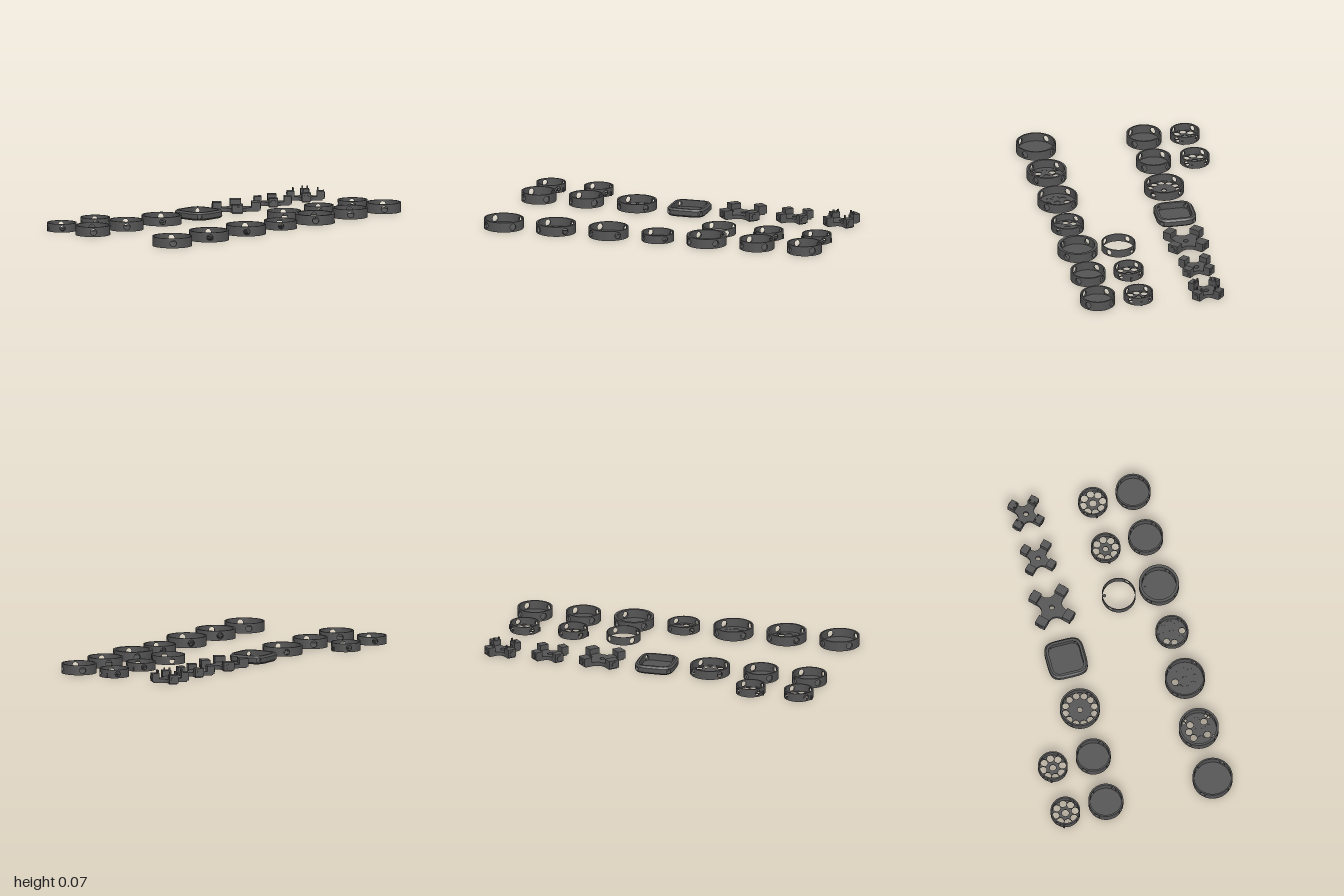
import * as THREE from 'three';
import { toCreasedNormals } from 'three/addons/utils/BufferGeometryUtils.js';

const Q = Math.PI / 2;
const grey = new THREE.MeshStandardMaterial({ color: 0x555555 });
grey.name = 'dark grey';

function add(parent, name, geo, x = 0, y = 0, z = 0) {
  const m = new THREE.Mesh(geo, grey);
  m.name = name;
  m.position.set(x, y, z);
  parent.add(m);
  return m;
}

// Flat plate lying on y = 0; shape up points to the back
function plate(shape, depth) {
  const g = new THREE.ExtrudeGeometry(shape, { depth, bevelEnabled: false, curveSegments: 14 });
  g.rotateX(-Q);
  return toCreasedNormals(g, 0.5);
}

function hole(shape, x, y, r) {
  const p = new THREE.Path();
  p.absarc(x, y, r, 0, Math.PI * 2, true);
  shape.holes.push(p);
}

// Upright wall with four round windows on the diagonals, swept as a lower and an upper band
function wall(radius, thick, h, holeR, bevel = 0) {
  const yc = h / 2;
  const half = Math.asin(holeR / radius(Q / 2));
  const steps = [];
  for (let q = 0; q < 4; q++) {
    const mid = q * Q + Q / 2;
    for (let i = 0; i < 8; i++) steps.push([q * Q + (Q / 2 - half) * i / 8, 0]);
    for (let i = 0; i < 16; i++) {
      const a = Math.PI * i / 16;
      steps.push([mid - half * Math.cos(a), holeR * Math.sin(a)]);
    }
    for (let i = 0; i < 8; i++) steps.push([mid + half + (Q / 2 - half) * i / 8, 0]);
  }
  const pos = [];
  const section = ([t, s], upper) => {
    const ro = radius(t), ri = ro - thick, b = bevel;
    const pts = upper
      ? [[ro, yc + s], [ro, Math.max(h - b, yc + s)], [ro - b, h], [ri, h], [ri, yc + s]]
      : [[ro - b, 0], [ro, Math.min(b, yc - s)], [ro, yc - s], [ri, yc - s], [ri, 0]];
    return pts.map(([r, y]) => [r * Math.cos(t), y, -r * Math.sin(t)]);
  };
  for (const upper of [false, true]) {
    for (let i = 0; i < steps.length; i++) {
      const A = section(steps[i], upper), B = section(steps[(i + 1) % steps.length], upper);
      for (let k = 0; k < 5; k++) {
        const n = (k + 1) % 5;
        pos.push(...A[k], ...B[k], ...B[n], ...A[k], ...B[n], ...A[n]);
      }
    }
  }
  const g = new THREE.BufferGeometry();
  g.setAttribute('position', new THREE.Float32BufferAttribute(pos, 3));
  return toCreasedNormals(g, 0.5);
}

// Round cup: wall, floor with open holes, and holes closed by recessed lids
function cup(root, name, x, z, r, h, thick, { open = [], closed = [], floor = true } = {}) {
  const g = new THREE.Group();
  g.name = name;
  g.position.set(x, 0, z);
  root.add(g);
  add(g, 'wall', wall(() => r, thick, h, h * 0.33));
  if (floor) {
    const s = new THREE.Shape().absarc(0, 0, r - 0.002, 0, Math.PI * 2);
    for (const [px, py, pr] of [...open, ...closed]) hole(s, px, py, pr);
    add(g, 'floor', plate(s, 0.006));
    for (const [px, py, pr] of closed) {
      add(g, 'lid', new THREE.CylinderGeometry(pr, pr, 0.002, 24), px, 0.003, -py);
    }
  }
  return g;
}

// Circle of holes; index 0 points right, counting anticlockwise from above
function circle(n, ringR, r) {
  return Array.from({ length: n }, (_, i) => {
    const a = i * Math.PI * 2 / n;
    return [ringR * Math.cos(a), ringR * Math.sin(a), r];
  });
}

// Diagonal cross with a block and a round plug at each arm end
function cross(root, name, x, z, reach, width, blockLen, pins) {
  const g = new THREE.Group();
  g.name = name;
  g.position.set(x, 0, z);
  root.add(g);
  const s = new THREE.Shape();
  const w = width / 2 * 0.9, start = reach - blockLen;
  const at = (k, u, v) => {
    const a = Q / 2 + k * Q;
    return [u * Math.cos(a) - v * Math.sin(a), u * Math.sin(a) + v * Math.cos(a)];
  };
  s.moveTo(...at(0, reach - 0.01, -w));
  for (let k = 0; k < 4; k++) {
    s.lineTo(...at(k, reach - 0.01, w));
    s.lineTo(...at(k, start, w));
    s.quadraticCurveTo(...at(k, w * 1.05, w * 1.05), ...at(k + 1, start, -w));
    s.lineTo(...at(k + 1, reach - 0.01, -w));
  }
  hole(s, 0, 0, 0.014);
  add(g, 'hub', plate(s, 0.022), 0, 0.003, 0);
  for (let k = 0; k < 4; k++) {
    const arm = new THREE.Group();
    arm.name = 'arm';
    arm.rotation.y = Q / 2 + k * Q;
    g.add(arm);
    add(arm, 'block', new THREE.BoxGeometry(blockLen, 0.046, width), reach - blockLen / 2, 0.033, 0);
    const plug = new THREE.CylinderGeometry(0.016, 0.016, 0.006, 24).rotateZ(Q);
    add(arm, 'plug', plug, reach + 0.001, 0.031, 0);
    if (pins) {
      for (const side of [-1, 1]) {
        add(arm, 'pin', new THREE.BoxGeometry(0.008, 0.03, 0.008), start + 0.006, 0.058, side * 0.015);
      }
    }
  }
}

// Small wheel: ring of eight holes round a middle hole, with two rim pegs
function wheel(root, x, z, turn, middle) {
  const g = cup(root, 'smallWheel', x, z, 0.083, 0.047, 0.008, {
    open: [...circle(8, 0.056, 0.02), [0, 0, middle]],
  });
  for (const a of [turn, turn + Math.PI]) {
    const peg = add(g, 'peg', new THREE.BoxGeometry(0.008, 0.025, 0.01),
      0.085 * Math.cos(a), 0.0125, -0.085 * Math.sin(a));
    peg.rotation.y = a;
  }
}

export function createModel() {
  const root = new THREE.Group();
  root.name = 'partsSet';

  // Back rows
  wheel(root, -0.875, -0.444, -0.35, 0.02);
  wheel(root, -0.596, -0.444, -0.35, 0.018);
  cup(root, 'cup', -0.875, -0.21, 0.098, 0.055, 0.009);
  cup(root, 'cup', -0.596, -0.21, 0.098, 0.055, 0.009);
  cup(root, 'twelveHoleCup', -0.3, -0.21, 0.112, 0.05, 0.01, {
    open: [...circle(12, 0.083, 0.0185), [0, 0, 0.015]],
  });

  // Rounded square tray
  const tray = new THREE.Group();
  tray.name = 'squareTray';
  tray.position.set(0.008, 0, -0.21);
  root.add(tray);
  const soft = (t) => 0.112 / Math.pow(Math.abs(Math.cos(t)) ** 4 + Math.abs(Math.sin(t)) ** 4, 0.25);
  add(tray, 'wall', wall(soft, 0.024, 0.046, 0.014, 0.01));
  const base = [];
  for (let i = 0; i < 72; i++) {
    const t = i * Math.PI / 36, r = soft(t) - 0.012;
    base.push(new THREE.Vector2(r * Math.cos(t), r * Math.sin(t)));
  }
  add(tray, 'floor', plate(new THREE.Shape(base), 0.008));

  // Crosses
  cross(root, 'largeCross', 0.324, -0.21, 0.134, 0.062, 0.05, false);
  cross(root, 'smallCross', 0.626, -0.21, 0.105, 0.05, 0.042, false);
  cross(root, 'pinnedCross', 0.9, -0.21, 0.105, 0.05, 0.042, true);

  // Inner row
  const ring = cup(root, 'thinRing', 0.3, 0.171, 0.095, 0.047, 0.004, { floor: false });
  const stud = () => new THREE.CylinderGeometry(0.009, 0.009, 0.006, 20);
  add(ring, 'stud', stud(), 0.025, 0.003, -0.077);
  wheel(root, 0.591, 0.171, 0, 0.015);
  wheel(root, 0.872, 0.171, 0, 0.02);

  // Front row
  cup(root, 'cup', -0.89, 0.404, 0.112, 0.055, 0.008);

  const eight = circle(8, 0.056, 0.019);
  const slots = [0, 1, 2, 3].flatMap((k) => [-0.1, 0.1].map((d) => {
    const a = Q / 2 + k * Q + d;
    return [0.092 * Math.cos(a), 0.092 * Math.sin(a), 0.008];
  }));
  cup(root, 'slottedCup', -0.583, 0.404, 0.112, 0.055, 0.012, {
    open: [...[1, 2, 3, 5, 7].map((i) => eight[i]), ...slots],
    closed: [eight[0], eight[4], eight[6], [0, 0, 0.019]],
  });
  cup(root, 'nineHoleCup', -0.275, 0.404, 0.112, 0.055, 0.008, {
    open: [eight[2]],
    closed: [...eight.filter((_, i) => i !== 2), [0, 0, 0.019]],
  });
  const nine = circle(8, 0.058, 0.018);
  cup(root, 'smallNineHoleCup', 0.013, 0.404, 0.092, 0.047, 0.008, {
    open: [nine[3], nine[4], nine[6]],
    closed: [nine[0], nine[1], nine[2], nine[5], nine[7], [0, 0, 0.018]],
  });
  const deep = cup(root, 'studdedCup', 0.3, 0.404, 0.112, 0.055, 0.016);
  add(deep, 'stud', stud(), 0.025, 0.007, -0.072);
  cup(root, 'cup', 0.594, 0.404, 0.098, 0.055, 0.009);
  cup(root, 'cup', 0.874, 0.404, 0.098, 0.055, 0.009);
  return root;
}
